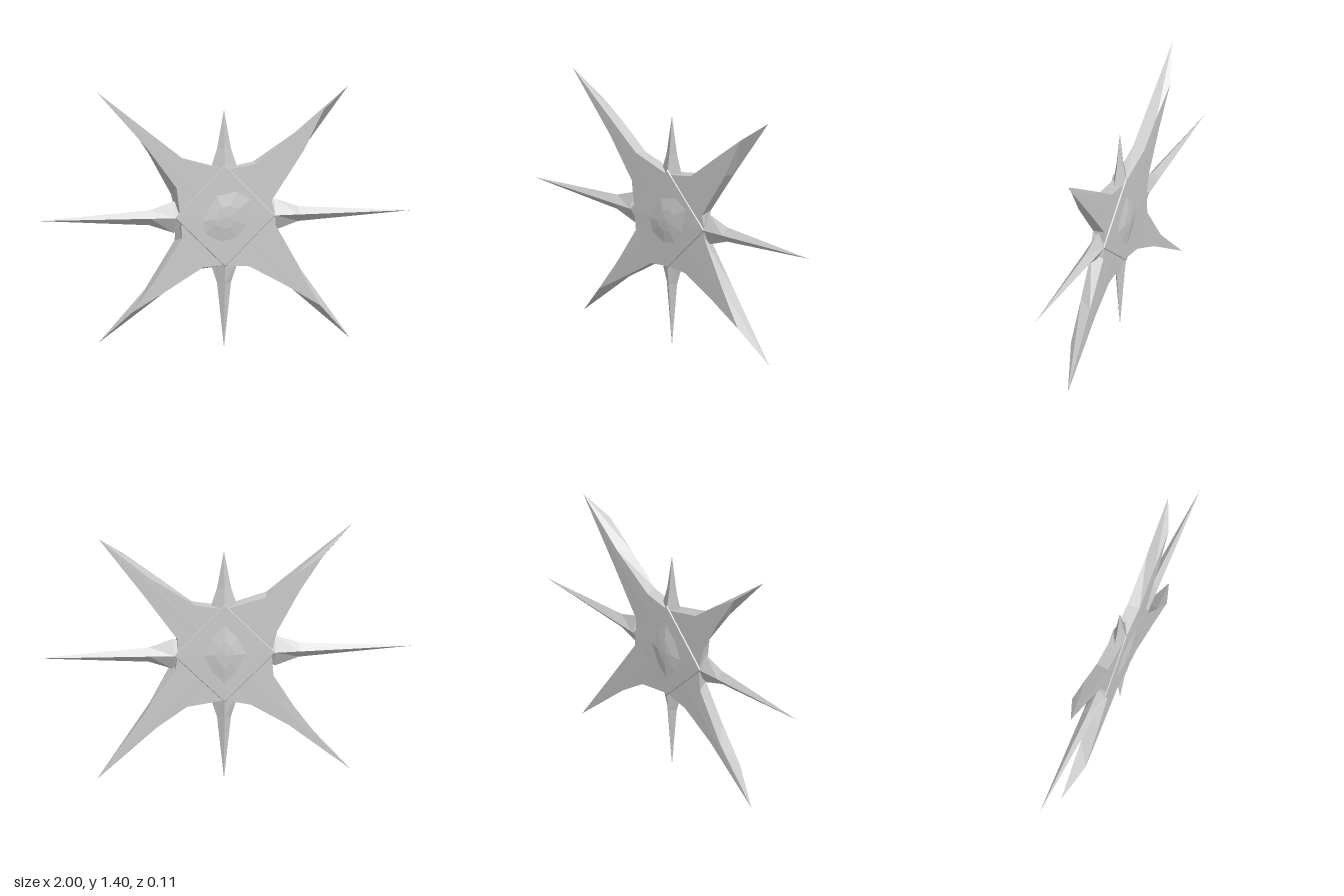
import * as THREE from 'three';

const CY = 0.71; // height of the star's centre
const material = new THREE.MeshStandardMaterial({ color: 0xcccccc, flatShading: true, side: THREE.DoubleSide });

// Joins rings of equal point count, closing both ends to a centre point.
// Rings run counter-clockwise seen from the last ring's end.
function loft(name, start, rings, end) {
  const pos = [];
  const n = rings[0].length;
  const tri = (a, b, c) => pos.push(...a, ...b, ...c);
  for (let i = 0; i < n; i++) {
    const j = (i + 1) % n;
    tri(start, rings[0][j], rings[0][i]);
    for (let k = 0; k < rings.length - 1; k++) {
      const a = rings[k], b = rings[k + 1];
      tri(a[i], a[j], b[j]);
      tri(a[i], b[j], b[i]);
    }
    const last = rings[rings.length - 1];
    tri(end, last[i], last[j]);
  }
  const geometry = new THREE.BufferGeometry();
  geometry.setAttribute('position', new THREE.Float32BufferAttribute(pos, 3));
  geometry.computeVertexNormals();
  const mesh = new THREE.Mesh(geometry, material);
  mesh.name = name;
  return mesh;
}

const atZ = (outline, z) => outline.map(([x, y]) => [x, y, z]);

// Flat four-armed star; front and back outlines have staggered tips
function makeBody() {
  const front = [
    [0.27, 0], [0.25, 0.08], [0.42, 0.34], [0.53, 0.56], [0.36, 0.43], [0.17, 0.28],
    [0, 0.25], [-0.23, 0.32], [-0.46, 0.505], [-0.69, 0.69], [-0.42, 0.38], [-0.26, 0.16],
    [-0.24, 0], [-0.23, -0.11], [-0.36, -0.31], [-0.5, -0.5], [-0.33, -0.4], [-0.12, -0.27],
    [0, -0.26], [0.13, -0.27], [0.33, -0.38], [0.51, -0.49], [0.39, -0.28], [0.27, -0.05],
  ];
  const back = [
    [0.25, 0], [0.25, 0.09], [0.42, 0.33], [0.67, 0.67], [0.4, 0.44], [0.16, 0.28],
    [0, 0.25], [-0.22, 0.31], [-0.37, 0.43], [-0.53, 0.54], [-0.4, 0.34], [-0.28, 0.12],
    [-0.25, 0], [-0.26, -0.13], [-0.42, -0.39], [-0.67, -0.67], [-0.34, -0.41], [-0.14, -0.29],
    [0, -0.26], [0.2, -0.29], [0.36, -0.4], [0.68, -0.68], [0.42, -0.31], [0.26, -0.08],
  ];
  return loft('starBody', [0, 0, -0.034], [atZ(back, -0.032), atZ(front, 0.035)], [0, 0, 0.036]);
}

// Four-sided spike along +x: flared root, then a long taper
function makeSpike(name, length, width, root, angle) {
  const ring = (x, w) => {
    const t = 0.055 * (1 - x / length);
    return [[x, w, 0], [x, 0, t], [x, -w, 0], [x, 0, -t]].reverse();
  };
  const rings = [ring(root, width), ring(root + 0.13, width * 0.47)];
  // ridge depth is kept close to the hub thickness at the root
  rings[0].forEach((p) => { if (p[2]) p[2] = Math.sign(p[2]) * 0.04; });
  const spike = loft(name, [0.1, 0, 0], rings.map((r) => r.reverse()), [length, 0, 0]);
  spike.rotation.z = angle;
  return spike;
}

// Raised diamond plate with a faceted stone, on the front
function makeHub(name, stone) {
  const hub = new THREE.Group();
  hub.name = name;
  const diamond = (s) => [[0.27 * s, 0], [0, 0.28 * s], [-0.27 * s, 0], [0, -0.27 * s]];
  hub.add(loft('diamondPlate', [0, 0, 0.02],
    [atZ(diamond(1), 0.034), atZ(diamond(0.98), 0.04)], [0, 0, 0.043]));
  const inner = stone.map(([x, y]) => [x * 0.45, y * 0.45]);
  hub.add(loft('stone', [0, 0, 0.03], [atZ(stone, 0.04), atZ(inner, 0.053)], [0.01, 0, 0.057]));
  return hub;
}

export function createModel() {
  const model = new THREE.Group();
  model.name = 'eightPointedStar';
  const star = new THREE.Group();
  star.name = 'star';
  star.position.y = CY;
  star.add(makeBody());

  star.add(
    makeSpike('leftSpike', 1, 0.085, 0.27, 0),
    makeSpike('topSpike', 0.57, 0.08, 0.23, Math.PI / 2),
    makeSpike('rightSpike', 1, 0.085, 0.27, Math.PI),
    makeSpike('bottomSpike', 0.71, 0.08, 0.23, -Math.PI / 2),
  );

  star.add(makeHub('frontHub', [
    [0.12, -0.05], [0.14, 0.09], [0.06, 0.14], [-0.05, 0.12],
    [-0.13, -0.02], [-0.11, -0.09], [-0.02, -0.14], [0.06, -0.12],
  ]));
  const backHub = makeHub('backHub', [
    [0.12, 0], [0.07, 0.1], [0, 0.17], [-0.07, 0.1],
    [-0.12, 0], [-0.07, -0.1], [0, -0.17], [0.07, -0.1],
  ]);
  backHub.rotation.y = Math.PI;
  star.add(backHub);

  model.add(star);
  return model;
}
